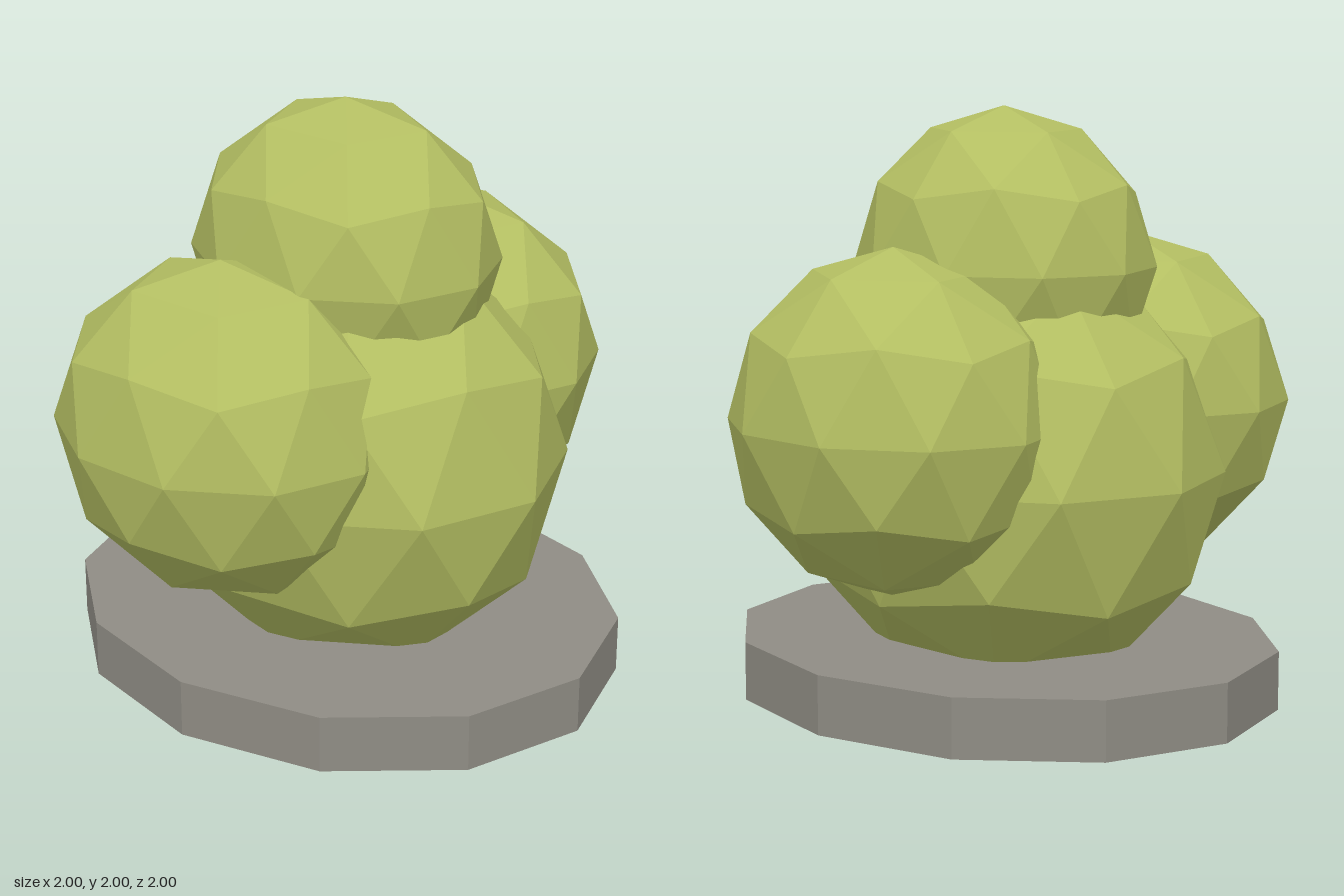
import * as THREE from 'three';

// Overall proportions: the clump is narrowed in x and slightly flattened in y
const SX = 0.855, SY = 0.965;

// Low-poly ball with a vertex at each pole and a ten-sided equator
function ballGeometry(radius) {
  const g = new THREE.IcosahedronGeometry(radius, 1);
  g.rotateZ(-Math.atan(2 / (1 + Math.sqrt(5))));
  g.scale(SX, SY, 1);
  g.computeVertexNormals(); // unshared corners give flat facets
  return g;
}

export function createModel() {
  const foliage = new THREE.MeshStandardMaterial({ color: 0xb3be62, flatShading: true });
  foliage.name = 'leaf green';
  const stone = new THREE.MeshStandardMaterial({ color: 0x8f8c84, flatShading: true });
  stone.name = 'stone grey';

  const model = new THREE.Group();
  model.name = 'bush on base';

  // Twelve-sided base disc
  const base = new THREE.Mesh(new THREE.CylinderGeometry(1, 1, 0.2, 12).scale(SX, 1, 1), stone);
  base.name = 'base';
  base.position.y = 0.1;
  model.add(base);

  // Four overlapping clumps: name, radius, centre
  const clumps = [
    ['mainClump', 0.8, 0, 0.785, 0],
    ['topClump', 0.55, 0, 1.47, 0],
    ['leftClump', 0.6, 0.511, 0.98, 0],
    ['rightClump', 0.6, -0.511, 0.98, -0.1],
  ];
  for (const [name, radius, x, y, z] of clumps) {
    const clump = new THREE.Mesh(ballGeometry(radius), foliage);
    clump.name = name;
    clump.position.set(x, y, z);
    model.add(clump);
  }
  return model;
}
